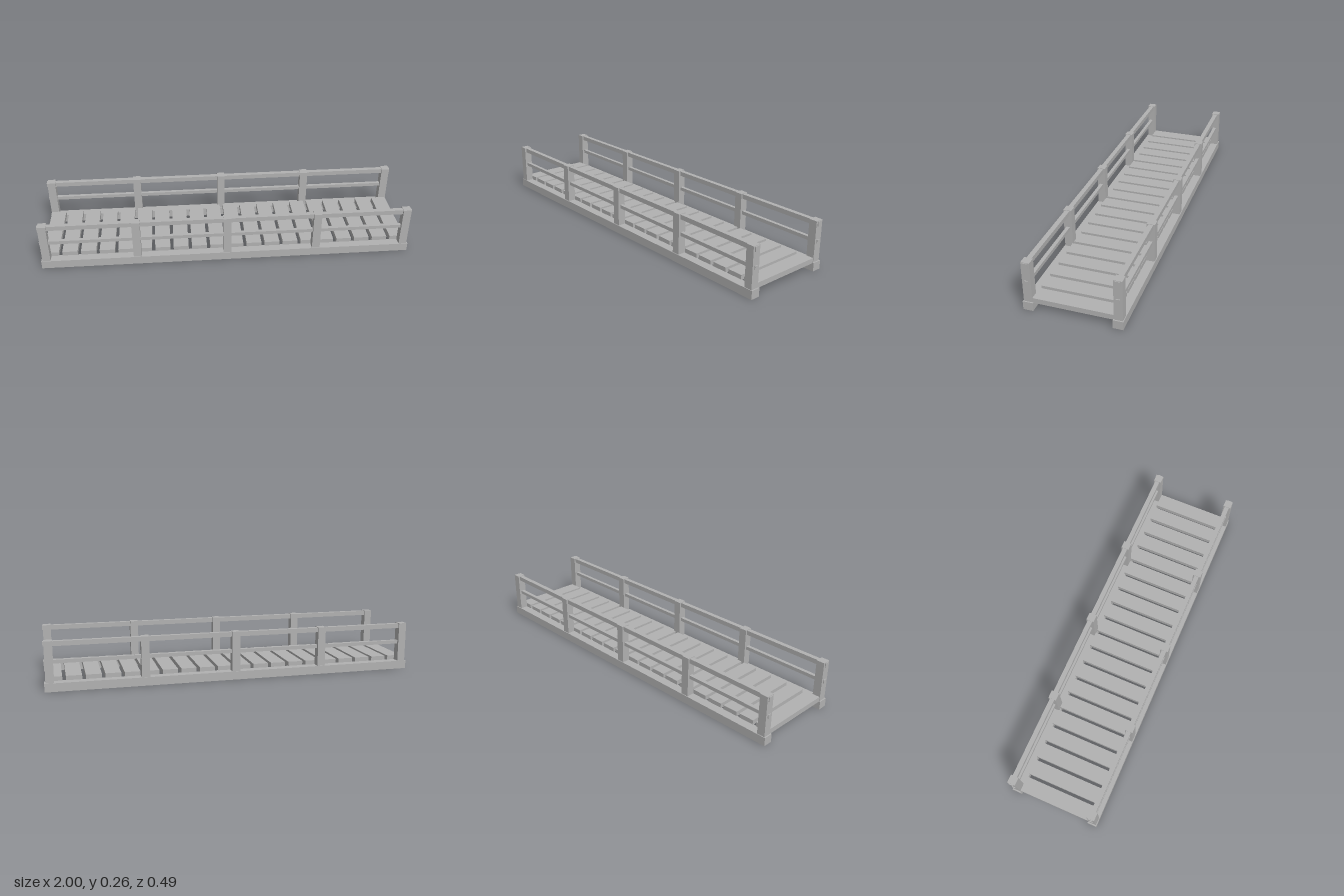
import * as THREE from 'three';

export function createModel() {
  const bridge = new THREE.Group();
  bridge.name = 'footbridge';

  const grey = new THREE.MeshStandardMaterial({ color: 0xb2b2b2 });
  grey.name = 'plain grey';

  const addBox = (parent, name, [w, h, d], [x, y, z]) => {
    const mesh = new THREE.Mesh(new THREE.BoxGeometry(w, h, d), grey);
    mesh.name = name;
    mesh.position.set(x, y, z);
    parent.add(mesh);
  };

  // Deck of evenly spaced cross planks
  const deck = new THREE.Group();
  deck.name = 'deck';
  bridge.add(deck);
  const plankCount = 20;
  const pitch = 0.1;
  for (let i = 0; i < plankCount; i++) {
    const x = (i - (plankCount - 1) / 2) * pitch;
    addBox(deck, 'plank', [0.082, 0.027, 0.4], [x, 0.0545, 0]);
  }

  // Each side: a ground beam, five posts and two rails
  for (const side of [1, -1]) {
    const railing = new THREE.Group();
    railing.name = side > 0 ? 'frontRailing' : 'backRailing';
    bridge.add(railing);
    const z = side * 0.221;

    addBox(railing, 'beam', [2, 0.045, 0.05], [0, 0.0225, z]);
    for (let i = -2; i <= 2; i++) {
      addBox(railing, 'post', [0.043, 0.218, 0.043], [i * 0.486, 0.152, z]);
    }
    addBox(railing, 'topRail', [1.996, 0.025, 0.025], [0, 0.246, z]);
    addBox(railing, 'middleRail', [1.996, 0.019, 0.019], [0, 0.153, z]);
  }

  return bridge;
}
